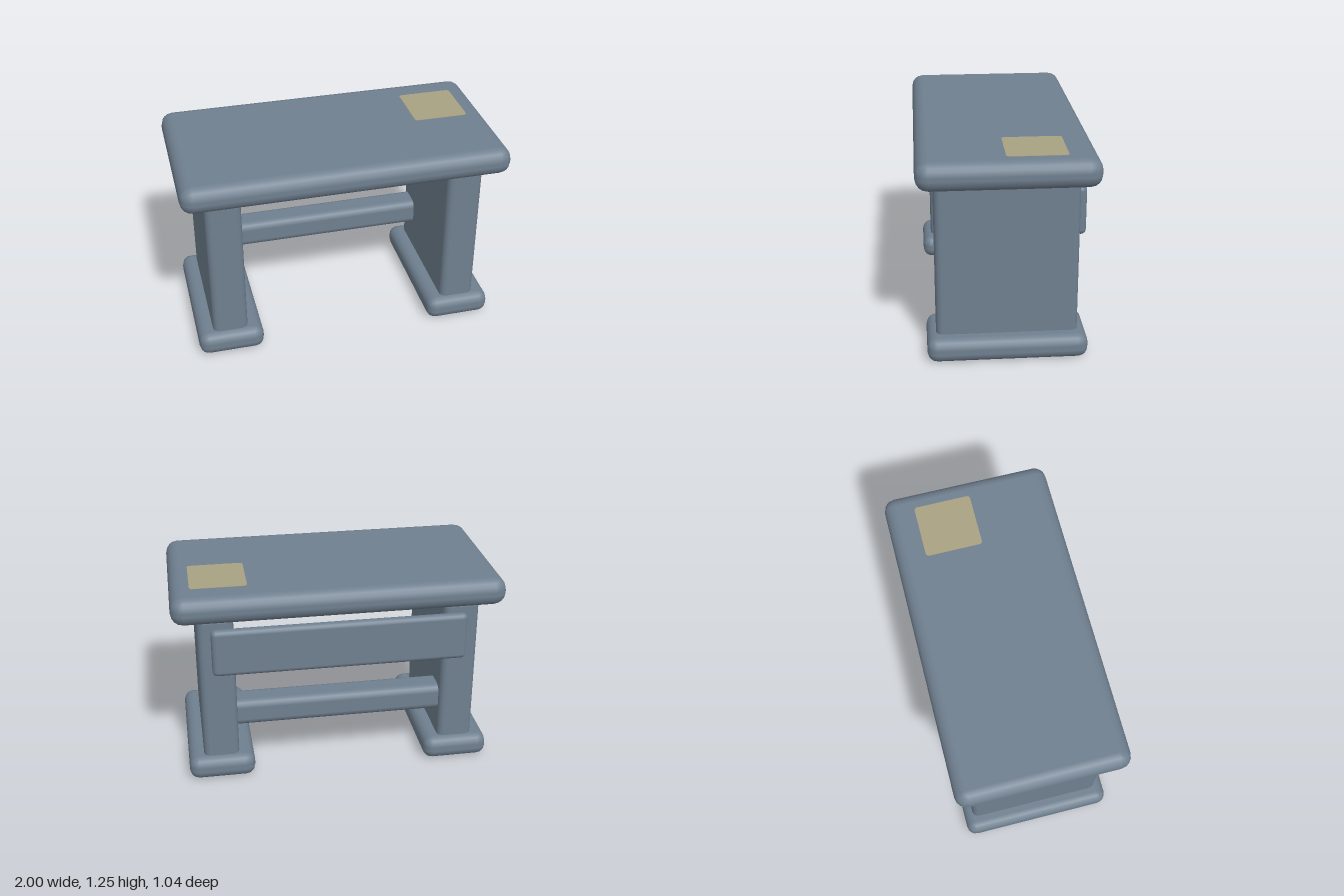
import * as THREE from 'three';
import { RoundedBoxGeometry } from 'three/addons/geometries/RoundedBoxGeometry.js';

export function createModel() {
  const model = new THREE.Group();
  model.name = 'desk';
  const slate = new THREE.MeshStandardMaterial({ color: 0x708090 });
  slate.name = 'slate grey';
  const paper = new THREE.MeshStandardMaterial({ color: 0xa9a283 });
  paper.name = 'faded paper';

  // Rounded block given by its lower and upper corners
  function block(name, min, max, radius) {
    const size = max.map((v, i) => v - min[i]);
    const mesh = new THREE.Mesh(new RoundedBoxGeometry(...size, 2, radius), slate);
    mesh.position.set(...max.map((v, i) => (v + min[i]) / 2));
    mesh.name = name;
    model.add(mesh);
  }

  // Table top
  block('tableTop', [-1, 1.08, -0.52], [1, 1.25, 0.52], 0.075);

  // Slab legs, each on a wide foot
  for (const [side, x] of [['left', 0.745], ['right', -0.75]]) {
    block(side + 'Leg', [x - 0.11, 0.08, -0.418], [x + 0.11, 1.09, 0.418], 0.04);
    block(side + 'Foot', [x - 0.205, 0, -0.473], [x + 0.205, 0.148, 0.473], 0.06);
  }

  // Back panel laid on the rear edges of the legs, and a lower stretcher between them
  block('backPanel', [-0.78, 0.72, -0.465], [0.775, 1.02, -0.4], 0.03);
  block('stretcher', [-0.72, 0.32, -0.38], [0.72, 0.49, -0.2], 0.045);

  // Thin sheet lying on the top, with slightly rounded corners
  const w = 0.17, d = 0.176, r = 0.02;
  const outline = new THREE.Shape();
  outline.absarc(w - r, d - r, r, 0, Math.PI / 2);
  outline.absarc(r - w, d - r, r, Math.PI / 2, Math.PI);
  outline.absarc(r - w, r - d, r, Math.PI, Math.PI * 1.5);
  outline.absarc(w - r, r - d, r, Math.PI * 1.5, Math.PI * 2);
  const sheet = new THREE.Mesh(
    new THREE.ExtrudeGeometry(outline, { depth: 0.004, bevelEnabled: false, curveSegments: 3 }), paper);
  sheet.rotation.x = -Math.PI / 2;
  sheet.position.set(0.71, 1.248, -0.163);
  sheet.name = 'paperSheet';
  model.add(sheet);

  return model;
}
